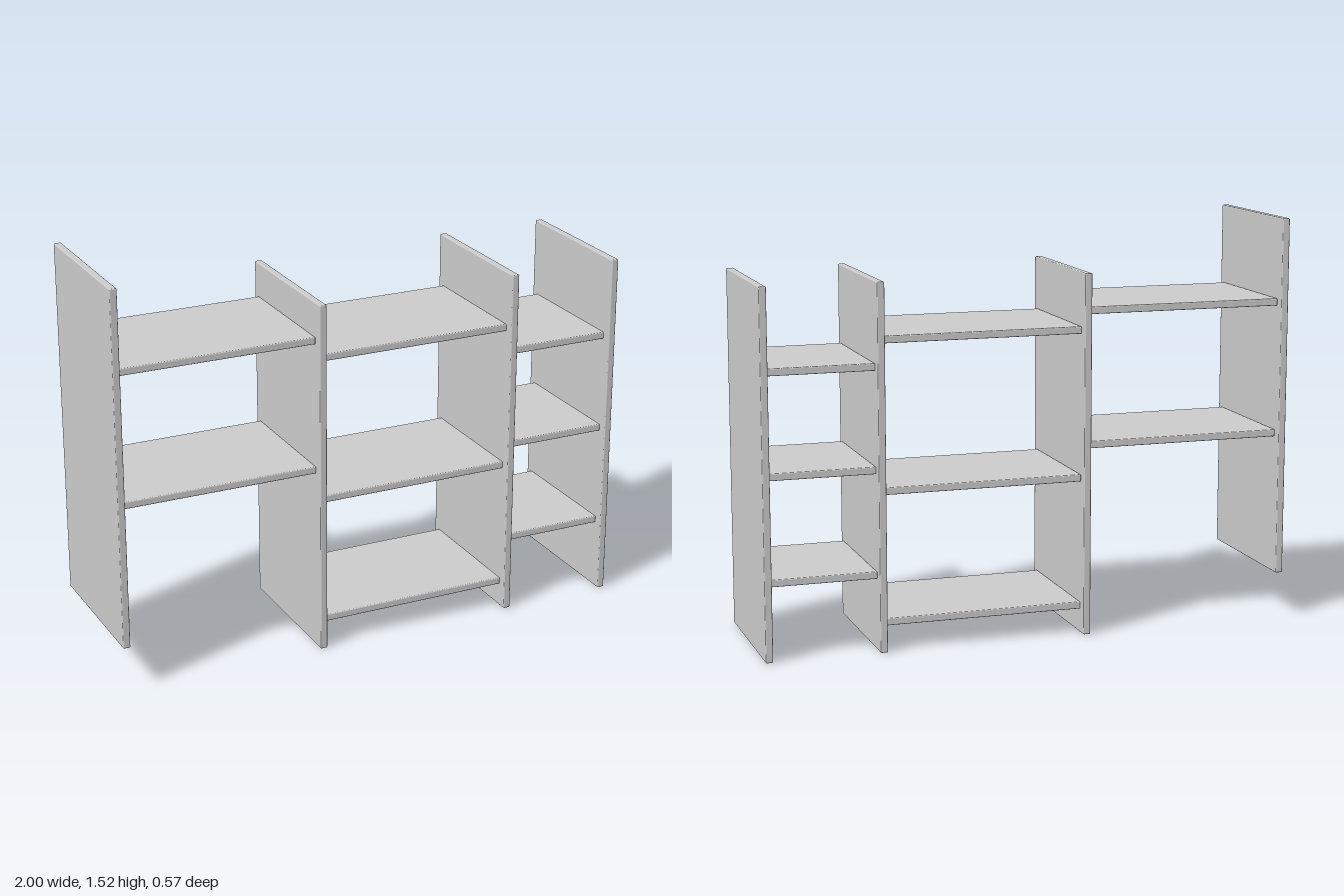
import * as THREE from 'three';
import { RoundedBoxGeometry } from 'three/addons/geometries/RoundedBoxGeometry.js';

const T = 0.027;          // board thickness
const PANEL_H = 1.347;    // upright height
const PANEL_D = 0.568;    // upright depth
const SHELF_D = 0.497;    // shelf depth
const EDGE = 0.004;       // softened board edges

export function createModel() {
  const group = new THREE.Group();
  const material = new THREE.MeshStandardMaterial({ color: 0xcccccc });

  function board(name, w, h, d, x, y) {
    const mesh = new THREE.Mesh(new RoundedBoxGeometry(w, h, d, 2, EDGE), material);
    mesh.name = name;
    mesh.position.set(x, y, 0);
    group.add(mesh);
  }

  // Uprights: centre x and bottom y (the first hangs higher than the rest)
  const uprights = [[-0.9865, 0.174], [-0.2115, 0], [0.5645, 0], [0.9865, 0]];
  uprights.forEach(([x, y], i) => board(`upright${i + 1}`, T, PANEL_H, PANEL_D, x, y + PANEL_H / 2));

  // Shelves: centre heights for each bay between neighbouring uprights
  const bays = [[1.206, 0.709], [1.136, 0.587], [0.104, 0.281, 0.666, 1.04].slice(1)];
  bays[1].push(0.104);
  bays.forEach((heights, i) => {
    const x0 = uprights[i][0] + T / 2;
    const x1 = uprights[i + 1][0] - T / 2;
    heights.forEach((y, j) => board(`bay${i + 1}Shelf${j + 1}`, x1 - x0, T, SHELF_D, (x0 + x1) / 2, y));
  });

  return group;
}
